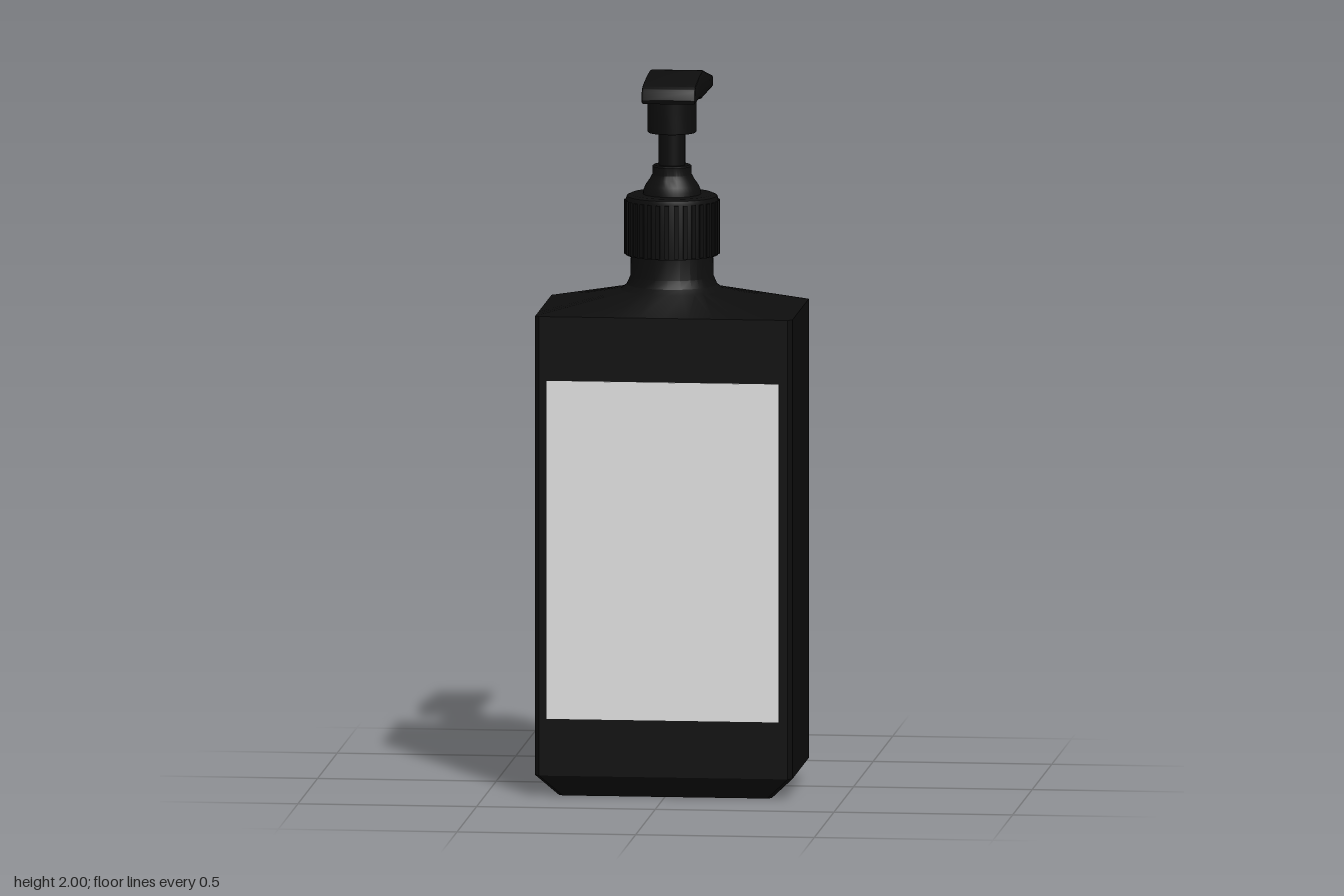
import * as THREE from 'three';
import { toCreasedNormals } from 'three/addons/utils/BufferGeometryUtils.js';

const CZ = 0.073; // depth of the bottle's axis

// Bevelled rectangle, edges subdivided so it can blend into a circle
function rectRing(hw, hd, c, y) {
  const corners = [
    [hw, -hd + c], [hw, hd - c], [hw - c, hd], [-hw + c, hd],
    [-hw, hd - c], [-hw, -hd + c], [-hw + c, -hd], [hw - c, -hd],
  ];
  const ring = [];
  corners.forEach(([x, z], i) => {
    const [nx, nz] = corners[(i + 1) % 8];
    const steps = i % 2 === 0 ? 10 : 1;
    for (let s = 0; s < steps; s++) {
      const t = s / steps;
      ring.push([x + (nx - x) * t, y, z + (nz - z) * t]);
    }
  });
  return ring;
}

// Circle sampled at the same angles as the body rectangle
function circleRing(r, y) {
  return rectRing(0.36, 0.22, 0.012, y).map(([x, , z]) => {
    const a = Math.atan2(z, x);
    return [r * Math.cos(a), y, r * Math.sin(a)];
  });
}

// Skin between rings listed from bottom to top, with both ends closed
function loft(rings) {
  const n = rings[0].length, pos = rings.flat(2), idx = [];
  for (let k = 0; k < rings.length - 1; k++) {
    for (let i = 0; i < n; i++) {
      const a = k * n + i, b = k * n + (i + 1) % n;
      idx.push(a, a + n, b, b, a + n, b + n);
    }
  }
  const top = (rings.length - 1) * n, low = pos.length / 3;
  pos.push(0, rings[0][0][1], 0, 0, rings[rings.length - 1][0][1], 0);
  for (let i = 0; i < n; i++) {
    const j = (i + 1) % n;
    idx.push(low, i, j, low + 1, top + j, top + i);
  }
  const g = new THREE.BufferGeometry();
  g.setAttribute('position', new THREE.Float32BufferAttribute(pos, 3));
  g.setIndex(idx);
  return toCreasedNormals(g, 0.4);
}

export function createModel() {
  const model = new THREE.Group();
  model.name = 'pumpBottle';
  const black = new THREE.MeshStandardMaterial({ color: 0x0d0d0d });
  black.name = 'black plastic';
  const paper = new THREE.MeshStandardMaterial({ color: 0xe0e0e0 });
  paper.name = 'pale label';

  const add = (name, geometry, material, x = 0, y = 0, z = CZ, parent = model) => {
    const mesh = new THREE.Mesh(geometry, material);
    mesh.name = name;
    mesh.position.set(x, y, z);
    parent.add(mesh);
    return mesh;
  };
  const lathe = (points) => toCreasedNormals(
    new THREE.LatheGeometry(points.map(([r, y]) => new THREE.Vector2(r, y)), 40), 0.5);

  // Bottle: tapered foot, straight walls, sloping shoulder and round neck
  add('bottleBody', loft([
    rectRing(0.298, 0.182, 0.012, 0),
    rectRing(0.36, 0.22, 0.012, 0.06),
    rectRing(0.36, 0.22, 0.012, 1.35),
    circleRing(0.143, 1.403),
    circleRing(0.126, 1.417),
    circleRing(0.116, 1.44),
    circleRing(0.114, 1.52),
  ]), black);

  // Labels on both broad faces
  add('frontLabel', new THREE.BoxGeometry(0.65, 0.95, 0.004), paper, -0.002, 0.695, CZ + 0.22);
  add('backLabel', new THREE.BoxGeometry(0.66, 0.95, 0.006), paper, -0.008, 0.695, CZ - 0.22);

  // Screw collar with grip ribs
  const collar = new THREE.Group();
  collar.name = 'collar';
  model.add(collar);
  add('collarRing', lathe([
    [0, 1.5], [0.129, 1.5], [0.129, 1.655], [0.126, 1.665], [0.115, 1.67], [0, 1.67],
  ]), black, 0, 0, CZ, collar);
  const ribs = 32, ribGeometry = new THREE.BoxGeometry(0.012, 0.15, 0.008);
  for (let i = 0; i < ribs; i++) {
    const a = (i / ribs) * Math.PI * 2;
    const rib = add('gripRib', ribGeometry, black,
      Math.sin(a) * 0.129, 1.578, CZ + Math.cos(a) * 0.129, collar);
    rib.rotation.y = a;
  }

  // Domed guide, stem and the sleeve below the head
  add('pumpGuide', lathe([
    [0.082, 1.66], [0.08, 1.68], [0.074, 1.695], [0.062, 1.712], [0.055, 1.725],
    [0.055, 1.748], [0.05, 1.752], [0, 1.752],
  ]), black);
  add('pumpStem', new THREE.CylinderGeometry(0.037, 0.037, 0.13, 32), black, 0, 1.8);
  add('headSleeve', lathe([
    [0, 1.843], [0.066, 1.843], [0.068, 1.846], [0.068, 1.94], [0, 1.94],
  ]), black);

  // Pump head and spout: side profile (z, y) extruded across the width
  const side = new THREE.Shape();
  side.moveTo(0.168, 1.934);
  side.lineTo(0.172, 1.945);
  side.lineTo(0.166, 1.968);
  side.quadraticCurveTo(0.16, 1.98, 0.14, 1.984);
  side.quadraticCurveTo(0.04, 2.0, -0.045, 2.0);
  side.quadraticCurveTo(-0.075, 1.998, -0.1, 1.99);
  side.lineTo(-0.292, 1.952);
  side.lineTo(-0.292, 1.92);
  side.lineTo(0.0, 1.926);
  side.lineTo(0.02, 1.934);
  side.closePath();
  const head = new THREE.ExtrudeGeometry(side, {
    depth: 0.138, curveSegments: 8,
    bevelEnabled: true, bevelThickness: 0.006, bevelSize: 0.005, bevelOffset: -0.005, bevelSegments: 2,
  });
  head.translate(0, 0, -0.069);
  head.rotateY(-Math.PI / 2);
  add('pumpHead', toCreasedNormals(head, 0.5), black, 0, 0, 0);

  return model;
}
